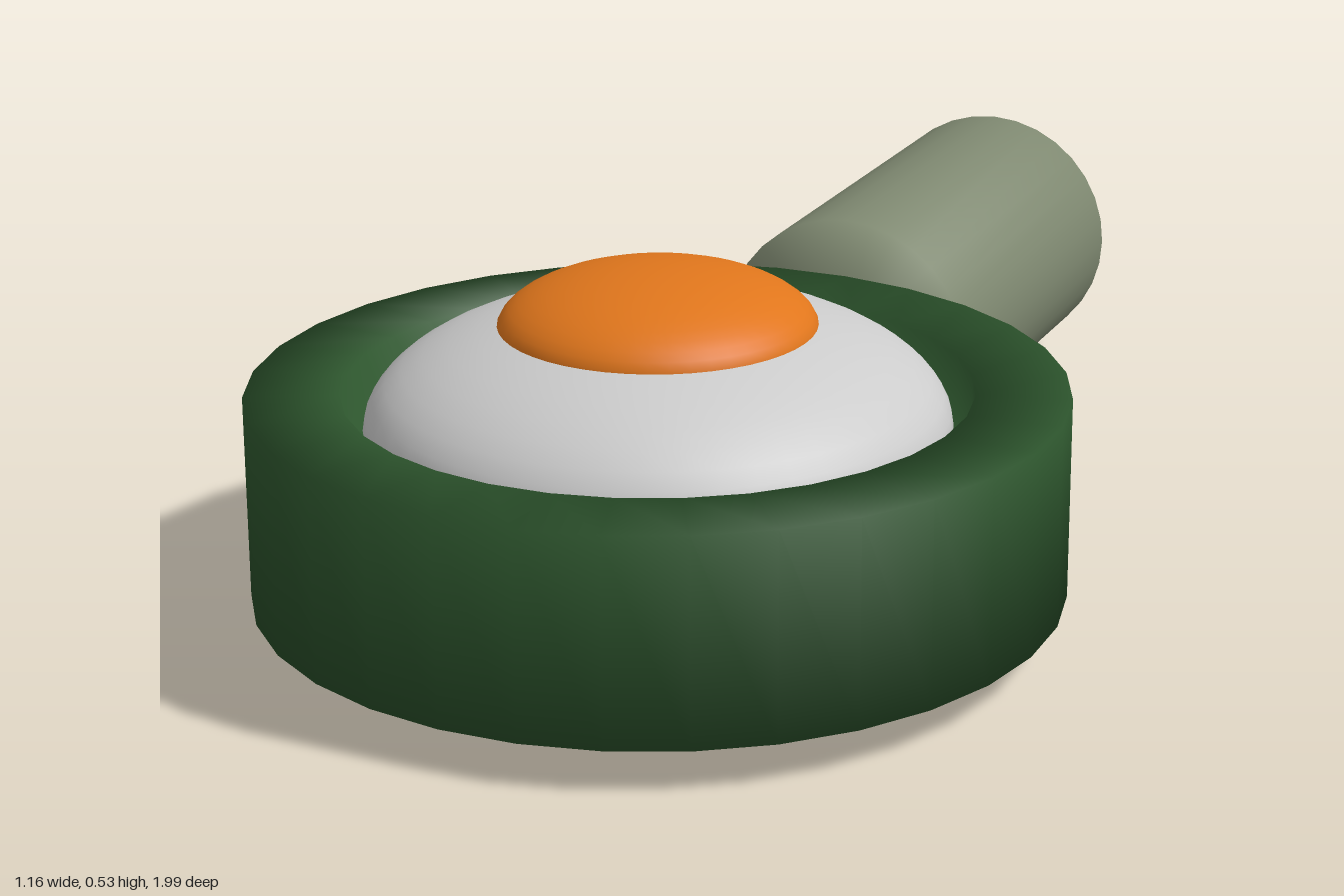
import * as THREE from 'three';

const PAN_Z = 0.415;

function mesh(name, geometry, color) {
  const m = new THREE.Mesh(geometry, new THREE.MeshStandardMaterial({ color }));
  m.name = name;
  return m;
}

// Turned solid with normals blended over its edges; points are [radius, height], bottom to top
function turned(points, segments) {
  return new THREE.LatheGeometry(points.map(([r, y]) => new THREE.Vector2(r, y)), segments);
}

// Rod lying along -z, from distance a to distance b
function rod(radius, a, b, segments) {
  return turned([[0, a], [radius, a], [radius, b], [0, b]], segments).rotateX(-Math.PI / 2);
}

// Flattened ball centred at height y
function flatBall(radius, halfHeight, y) {
  return new THREE.SphereGeometry(radius, 48, 24).scale(1, halfHeight / radius, 1).translate(0, y, 0);
}

export function createModel() {
  const group = new THREE.Group();
  group.name = 'fryingPan';

  const pan = new THREE.Group();
  pan.name = 'panWithEgg';
  pan.position.z = PAN_Z;
  group.add(pan);

  // Pan bowl: outer wall, flat rim, inner wall and floor
  pan.add(mesh('panBowl', turned([
    [0, 0.065], [0.58, 0.065], [0.58, 0.36], [0.445, 0.36], [0.445, 0.2], [0, 0.2],
  ], 32), 0x2d552d));

  // Fried egg
  pan.add(mesh('eggWhite', flatBall(0.415, 0.175, 0.306), 0xcccccc));
  pan.add(mesh('eggYolk', flatBall(0.226, 0.085, 0.445), 0xe0761c));

  // Handle swings slightly to the side around the pan centre
  const handle = new THREE.Group();
  handle.name = 'handle';
  handle.position.y = 0.205;
  handle.rotation.y = -0.107;
  handle.add(mesh('handleNeck', rod(0.08, 0.53, 0.76, 32), 0x3f2720));
  handle.add(mesh('handleGrip', rod(0.203, 0.708, 1.4, 32), 0x808a72));
  pan.add(handle);

  return group;
}
